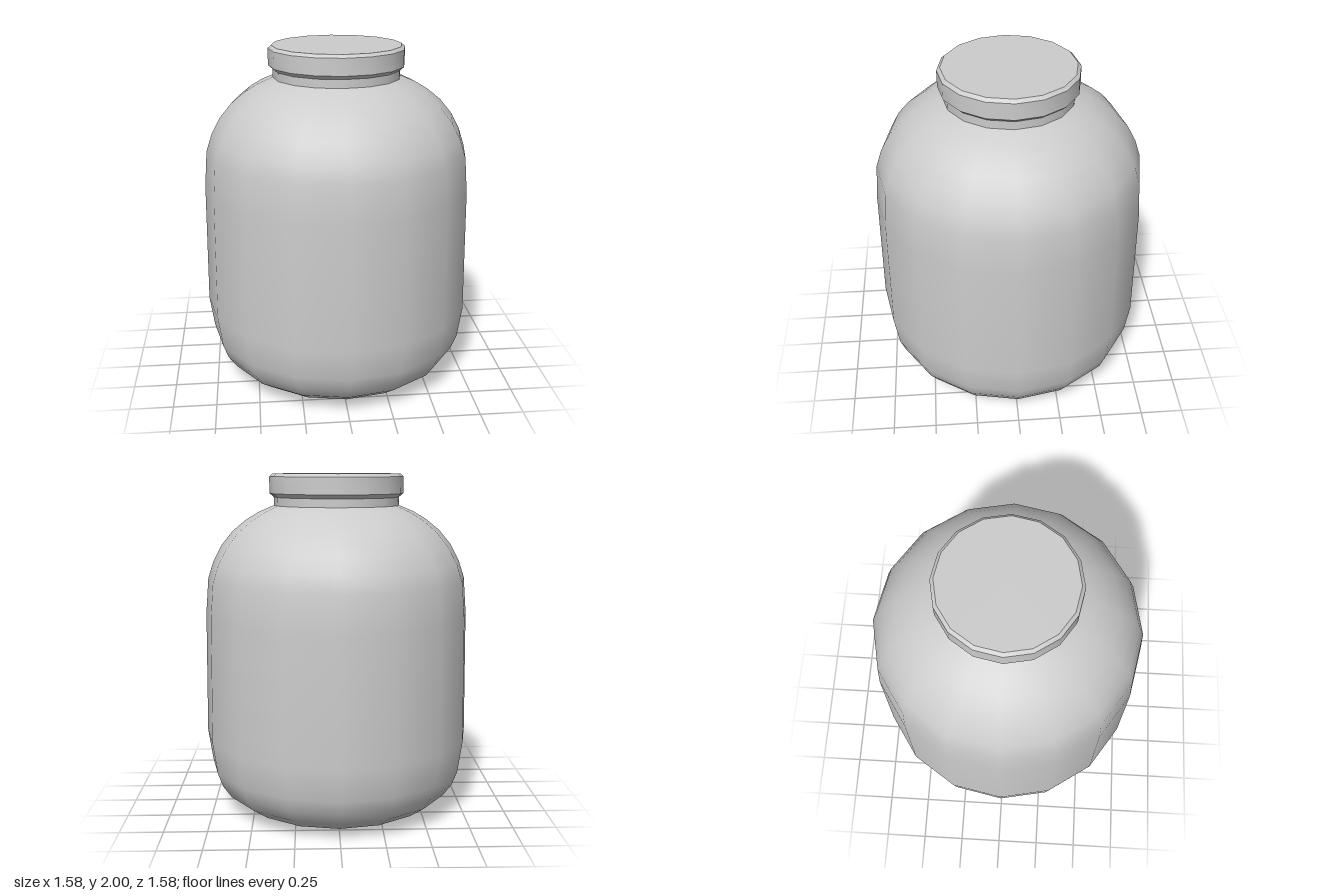
import * as THREE from 'three';
import { toCreasedNormals } from 'three/addons/utils/BufferGeometryUtils.js';

const SIDES = 16;

// Revolve a bottom-to-top profile of [radius, height] points.
function turned(name, profile, material) {
  const points = profile.map(([r, y]) => new THREE.Vector2(r, y));
  const mesh = new THREE.Mesh(new THREE.LatheGeometry(points, SIDES), material);
  mesh.name = name;
  return mesh;
}

export function createModel() {
  const jar = new THREE.Group();
  jar.name = 'jar';
  const grey = new THREE.MeshStandardMaterial({ color: 0xcccccc });
  grey.name = 'plain grey';

  // Smooth body with rounded base and shoulders
  jar.add(turned('body', [
    [0, 0], [0.386, 0.004], [0.585, 0.043], [0.682, 0.113], [0.732, 0.185],
    [0.763, 0.268], [0.79, 0.455], [0.78, 1.18], [0.763, 1.39], [0.73, 1.49],
    [0.68, 1.585], [0.61, 1.67], [0.53, 1.735], [0.455, 1.78], [0.368, 1.817],
  ], grey));

  // Straight neck
  jar.add(turned('neck', [[0.368, 1.817], [0.368, 1.87]], grey));

  // Lid with chamfered rims, sharp between bands and smooth around
  const lid = turned('lid', [
    [0, 1.865], [0.368, 1.865], [0.393, 1.887], [0.393, 1.983], [0.374, 2], [0, 2],
  ], grey);
  lid.geometry = toCreasedNormals(lid.geometry, 0.6);
  jar.add(lid);

  return jar;
}
